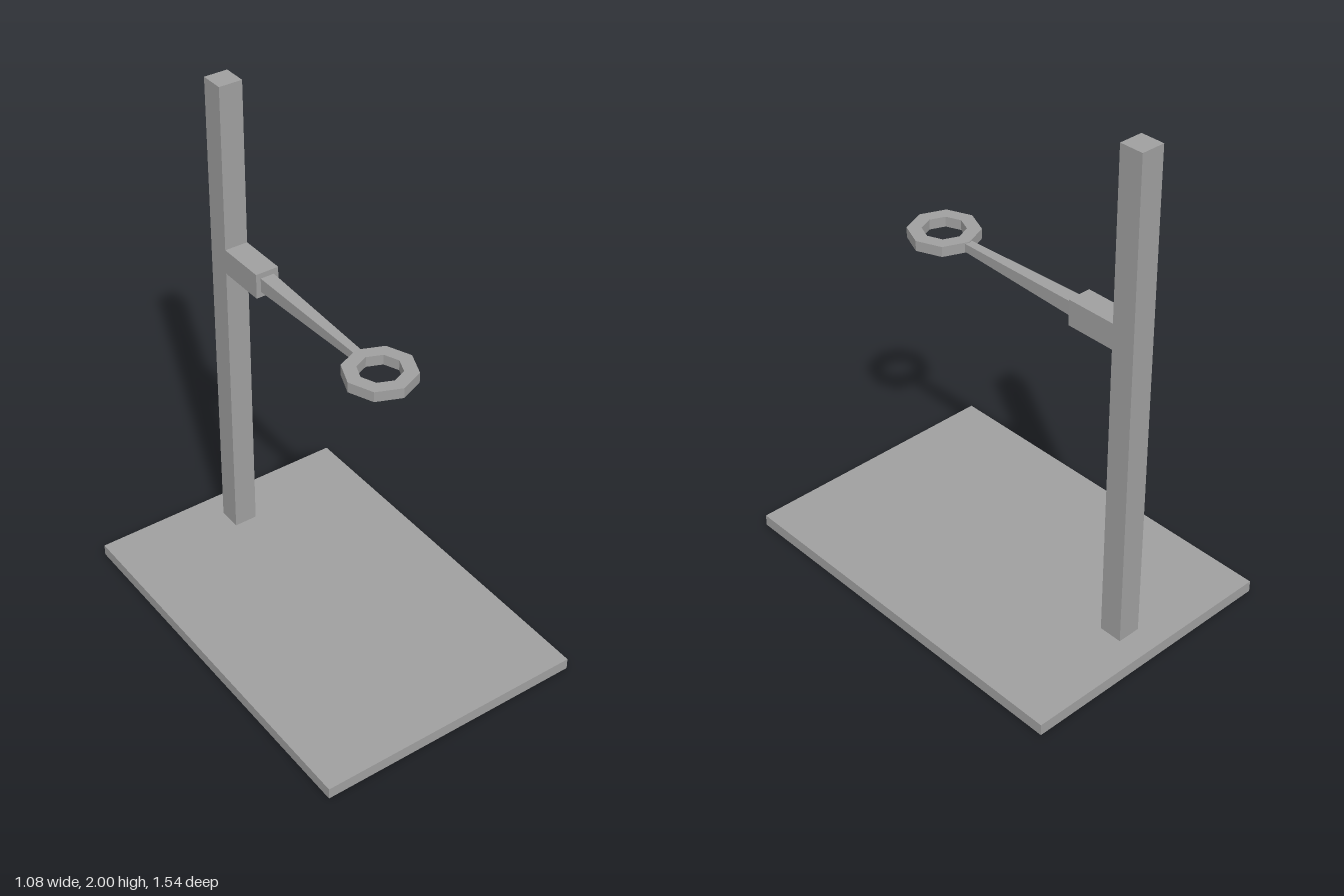
import * as THREE from 'three';

export function createModel() {
  const model = new THREE.Group();
  const grey = new THREE.MeshStandardMaterial({ color: 0xa0a0a0 });
  grey.name = 'stand grey';

  const add = (name, geometry, x, y, z) => {
    const mesh = new THREE.Mesh(geometry, grey);
    mesh.name = name;
    mesh.position.set(x, y, z);
    model.add(mesh);
    return mesh;
  };

  // Base plate, upright post and the clamp block in front of it
  add('basePlate', new THREE.BoxGeometry(1.08, 0.046, 1.54), 0, 0.023, 0);
  add('post', new THREE.BoxGeometry(0.094, 1.954, 0.094), 0, 1.023, -0.617);
  add('clampBlock', new THREE.BoxGeometry(0.094, 0.1, 0.2), 0, 1.3, -0.47);

  // Square rod tapering from the clamp to the ring
  const rodStart = -0.37, rodEnd = 0.19;
  const rod = new THREE.BoxGeometry(0.056, 0.056, rodEnd - rodStart);
  const p = rod.attributes.position;
  for (let i = 0; i < p.count; i++) {
    if (p.getZ(i) > 0) p.setXY(i, p.getX(i) * 0.56, p.getY(i) * 0.56);
  }
  rod.computeVertexNormals();
  add('taperedRod', rod, 0, 1.3, (rodStart + rodEnd) / 2);

  // Flat eight-sided support ring
  const octagon = (r) => Array.from({ length: 8 }, (_, i) =>
    new THREE.Vector2(Math.cos(i * Math.PI / 4) * r, Math.sin(i * Math.PI / 4) * r));
  const ringShape = new THREE.Shape(octagon(0.133));
  ringShape.holes.push(new THREE.Path(octagon(0.08)));
  const ring = new THREE.ExtrudeGeometry(ringShape, { depth: 0.04, bevelEnabled: false });
  ring.translate(0, 0, -0.02);
  ring.rotateX(-Math.PI / 2);
  add('supportRing', ring, 0, 1.3, 0.3);

  return model;
}
